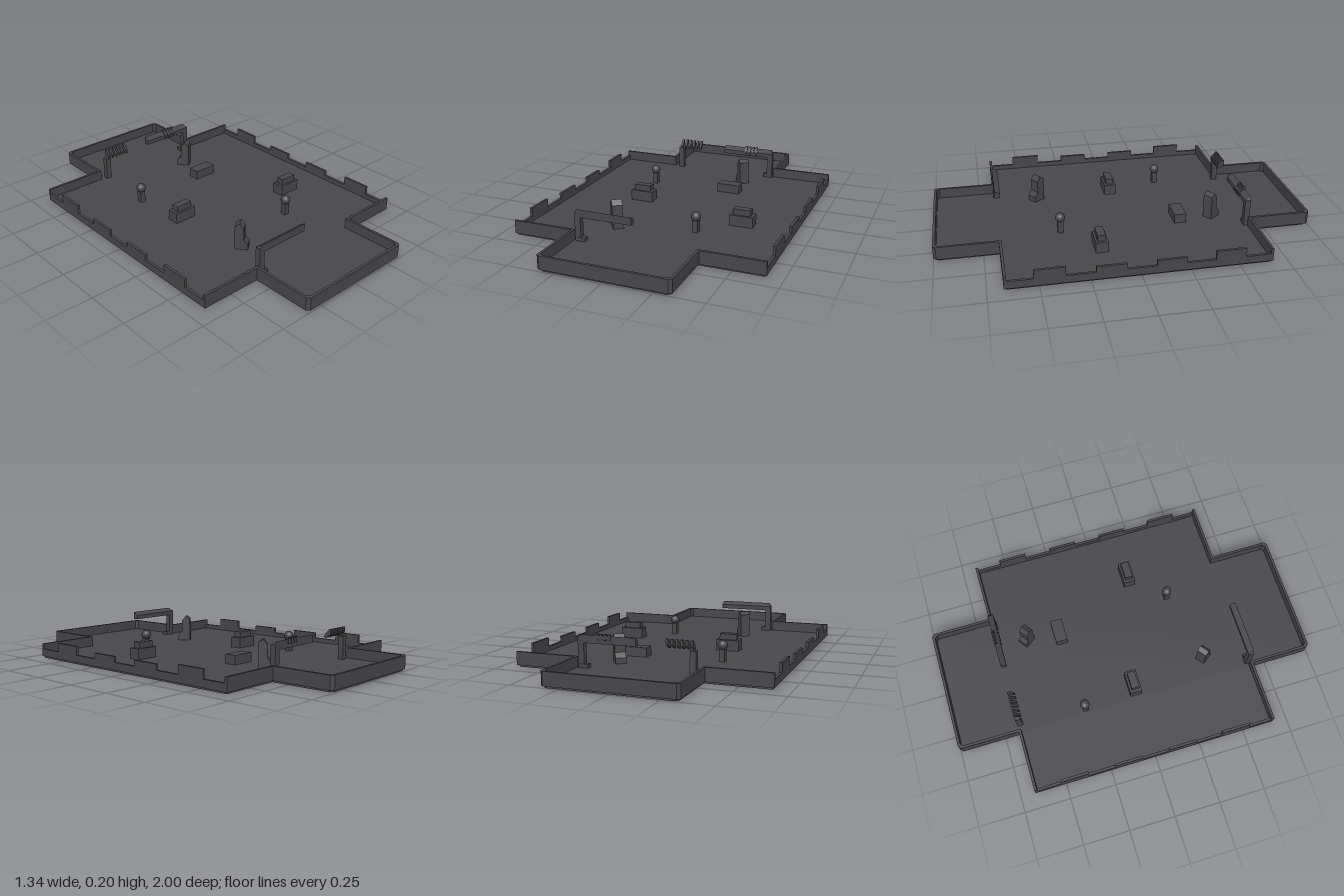
import * as THREE from 'three';

const stone = new THREE.MeshStandardMaterial({ color: 0x47474b });
stone.name = 'dark grey';

function add(parent, name, geometry, x = 0, y = 0, z = 0) {
  const mesh = new THREE.Mesh(geometry, stone);
  mesh.name = name;
  mesh.position.set(x, y, z);
  parent.add(mesh);
  return mesh;
}

// Box given by its centre in plan and its bottom and top heights
function block(parent, name, x, z, w, d, y0, y1) {
  return add(parent, name, new THREE.BoxGeometry(w, y1 - y0, d), x, (y0 + y1) / 2, z);
}

function shapeOf(points) {
  return new THREE.Shape(points.map(([x, y]) => new THREE.Vector2(x, y)));
}

// Extrude an x,z outline upwards between two heights
function plan(points, y0, y1) {
  const g = new THREE.ExtrudeGeometry(shapeOf(points), { depth: y1 - y0, bevelEnabled: false });
  g.rotateX(Math.PI / 2);
  g.translate(0, y1, 0);
  return g;
}

// Half of the outline at one end, from the middle to the left and right corners
function endOutline(inset) {
  const m = 0.67 - inset, a = 0.34 - inset, e = 1 - inset, c = 0.015;
  return [[m, m], [a, m], [a, e - c], [a - c, e], [c - a, e], [-a, e - c], [-a, m], [-m, m]];
}

// Half gateway: one upright and an arm with a chamfered outer corner and sloping top
function gate() {
  const g = new THREE.ExtrudeGeometry(shapeOf([
    [-0.32, 0.02], [-0.288, 0.02], [-0.288, 0.15], [-0.01, 0.15],
    [-0.01, 0.192], [-0.305, 0.192], [-0.32, 0.175],
  ]), { depth: 0.03, bevelEnabled: false });
  const p = g.attributes.position;
  for (let i = 0; i < p.count; i++) {
    if (p.getY(i) > 0.18 && p.getZ(i) < 0.01) p.setY(i, 0.174);
  }
  g.translate(0, 0, 0.637);
  g.computeVertexNormals();
  return g;
}

// Upright console with a peaked back and a sloping desk
function consoleGeometry() {
  const g = new THREE.ExtrudeGeometry(shapeOf([
    [-0.033, 0.02], [0.036, 0.02], [0.036, 0.055], [0.014, 0.08],
    [0.014, 0.145], [-0.008, 0.172], [-0.033, 0.155],
  ]), { depth: 0.055, bevelEnabled: false });
  g.translate(0, 0, -0.0275);
  g.rotateY(-Math.PI / 2);
  return g;
}

export function createModel() {
  const model = new THREE.Group();
  model.name = 'arena';

  // Floor slab, slightly inset below the walls
  const half = endOutline(0.01);
  const cross = [...half, ...half.map(([x, z]) => [-x, -z])];
  add(model, 'floor', plan(cross, 0, 0.025));

  // Both ends share the same walls and gateway
  const rim = [...endOutline(0), ...endOutline(0.014).reverse()];
  rim[rim.length - 1][0] = 0.67;
  rim[8][0] = -0.67;
  for (const turn of [0, Math.PI]) {
    const end = new THREE.Group();
    end.name = turn ? 'backEnd' : 'frontEnd';
    end.rotation.y = turn;
    model.add(end);
    add(end, 'endWall', plan(rim, 0.01, 0.08));
    add(end, 'gateway', gate());
    block(end, 'gatewayFoot', -0.285, 0.655, 0.04, 0.03, 0.02, 0.045);
  }

  // Low side walls with raised panels
  for (const s of [-1, 1]) {
    block(model, 'sideWall', s * 0.663, 0, 0.014, 1.314, 0.01, 0.05);
    for (const e of [-1, 1]) {
      block(model, 'tallPanel', s * 0.663, e * 0.45, 0.014, 0.155, 0.05, 0.097);
      block(model, 'lowPanel', s * 0.663, e * 0.15, 0.014, 0.152, 0.05, 0.08);
    }
  }

  // Broken back gateway: upright, and rows of slanted slats
  block(model, 'brokenPost', -0.28, -0.655, 0.03, 0.03, 0.02, 0.15);
  const slat = new THREE.ExtrudeGeometry(shapeOf([
    [-0.67, 0.17], [-0.632, 0.15], [-0.632, 0.168], [-0.66, 0.2], [-0.67, 0.2],
  ]), { depth: 0.012, bevelEnabled: false });
  slat.rotateY(-Math.PI / 2);
  for (let i = 0; i < 6; i++) add(model, 'slat', slat, -0.268 + i * 0.0245, 0, 0);
  for (let i = 0; i < 4; i++) add(model, 'slat', slat, 0.155 + i * 0.0215, 0, 0);

  // Stepped benches and a plain crate
  for (const [x, z] of [[-0.25, 0], [0.39, 0.16]]) {
    block(model, 'benchBase', x, z, 0.128, 0.066, 0.02, 0.083);
    block(model, 'benchTop', x, z, 0.095, 0.042, 0.083, 0.115);
  }
  block(model, 'crate', 0.16, -0.31, 0.13, 0.065, 0.02, 0.075);

  // Ball-topped posts
  for (const [x, z] of [[-0.305, -0.29], [0.198, 0.34]]) {
    block(model, 'ballPost', x, z, 0.03, 0.03, 0.02, 0.092);
    add(model, 'ball', new THREE.SphereGeometry(0.026, 20, 14), x, 0.11, z);
  }

  // Consoles facing opposite ways
  const desk = consoleGeometry();
  add(model, 'console', desk, -0.208, 0, 0.425).rotation.y = 0.65;
  add(model, 'console', desk, 0.177, 0, -0.495).rotation.y = 0.65 + Math.PI;

  return model;
}
